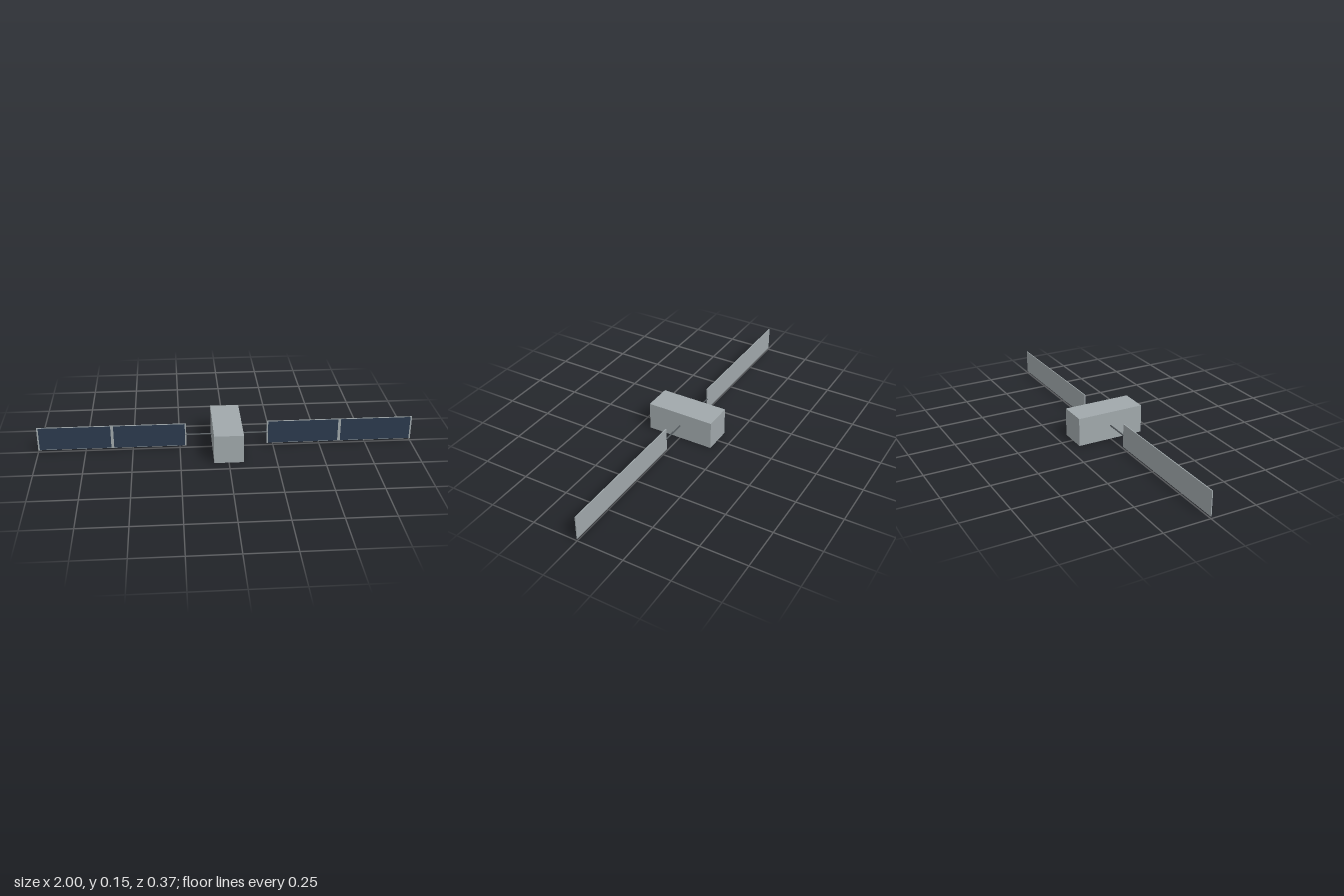
import * as THREE from 'three';

export function createModel() {
  const model = new THREE.Group();
  model.name = 'satellite';

  const material = (name, color) => {
    const m = new THREE.MeshStandardMaterial({ color });
    m.name = name;
    return m;
  };
  const hullGrey = material('hullGrey', 0xa0a8ab);
  const cellBlue = material('cellBlue', 0x2b3a4e);
  const boomGrey = material('boomGrey', 0x50565a);

  const midY = 0.077;
  const add = (parent, name, geometry, mat, x, y, z) => {
    const mesh = new THREE.Mesh(geometry, mat);
    mesh.name = name;
    mesh.position.set(x, y, z);
    parent.add(mesh);
  };

  // Box-shaped body
  add(model, 'body', new THREE.BoxGeometry(0.154, 0.154, 0.37), hullGrey, 0, midY, 0);

  // One wing on each side: boom, backing panel and two cell fields on the front
  for (const side of [1, -1]) {
    const wing = new THREE.Group();
    wing.name = side > 0 ? 'leftWing' : 'rightWing';

    const boom = new THREE.CylinderGeometry(0.004, 0.004, 0.15, 12).rotateZ(Math.PI / 2);
    add(wing, 'boom', boom, boomGrey, side * 0.145, midY, 0);

    add(wing, 'panel', new THREE.BoxGeometry(0.785, 0.13, 0.005), hullGrey, side * 0.6075, midY, 0);

    for (const x of [0.411, 0.803]) {
      add(wing, 'solarCells', new THREE.BoxGeometry(0.377, 0.125, 0.001), cellBlue, side * x, midY, 0.0028);
    }
    model.add(wing);
  }
  return model;
}
